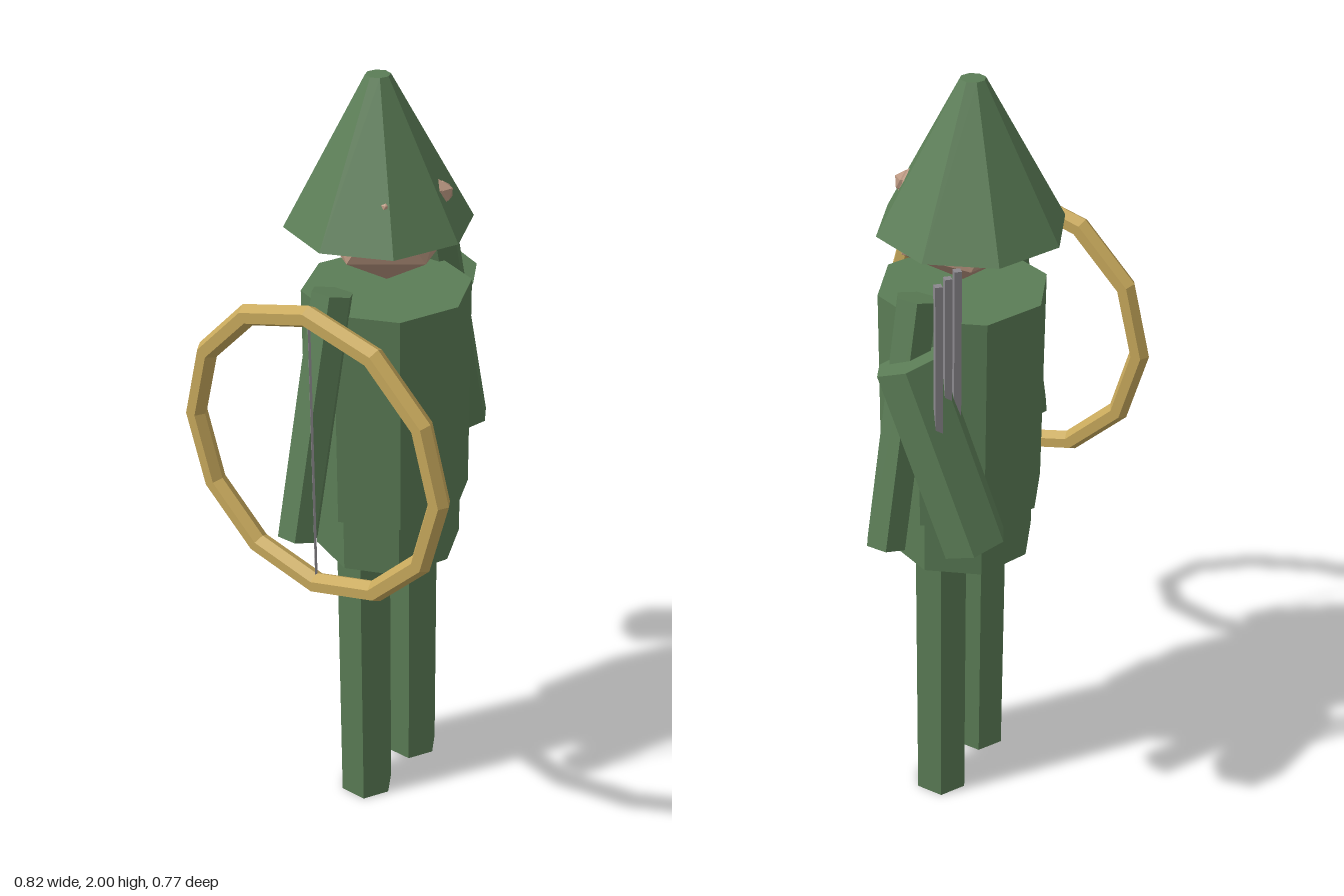
import * as THREE from 'three';

const material = (name, color) => {
  const m = new THREE.MeshStandardMaterial({ color, flatShading: true });
  m.name = name;
  return m;
};

export function createModel() {
  const green = material('green cloth', 0x5b7d56);
  const skin = material('skin', 0xb99680);
  const gold = material('bow wood', 0xc8a95c);
  const grey = material('grey shafts', 0x8b888d);

  const model = new THREE.Group();
  const add = (name, geometry, mat, x, y, z) => {
    const mesh = new THREE.Mesh(geometry, mat);
    mesh.name = name;
    mesh.position.set(x, y, z);
    model.add(mesh);
    return mesh;
  };
  const prism = (r, height, sides, rTop = r) => new THREE.CylinderGeometry(rTop, r, height, sides);
  // Icosahedron turned so that one corner points straight down
  const ball = (r) => new THREE.IcosahedronGeometry(r, 0).rotateZ(-0.5536);

  const bodyZ = -0.053;

  // Body
  add('torso', prism(0.208, 0.57, 8), green, 0, 1.195, bodyZ);
  add('hips', prism(0.187, 0.15, 8), green, 0, 0.835, bodyZ);

  // Limbs, mirrored
  for (const [label, side] of [['left', 1], ['right', -1]]) {
    add(label + 'Leg', prism(0.073, 0.77, 6), green, side * 0.105, 0.385, bodyZ);
    const arm = add(label + 'Arm', prism(0.052, 0.61, 6), green, side * 0.288, 1.247, bodyZ);
    arm.rotation.z = side * 0.255;
  }

  // Head, nose and pointed hat
  add('head', ball(0.175), skin, 0, 1.67, bodyZ);
  add('nose', ball(0.028), skin, 0.045, 1.735, 0.075);
  add('hat', prism(0.228, 0.36, 8, 0.03), green, 0, 1.82, -0.075);

  // Quiver leaning back, with three upright arrows
  const quiver = add('quiver', prism(0.082, 0.476, 6), green, 0.29, 1.2, -0.163);
  quiver.rotation.x = 0.386;
  for (let i = -1; i <= 1; i++) {
    add('arrow', prism(0.012, 0.46, 4), grey, 0.29 + i * 0.042, 1.43, -0.178);
  }

  // Round bow and its string
  const bow = add('bow', new THREE.TorusGeometry(0.36, 0.027, 6, 12), gold, -0.364, 1.197, 0);
  bow.rotation.y = Math.PI / 2;
  add('bowString', prism(0.004, 0.72, 4), grey, -0.364, 1.197, 0);

  return model;
}
